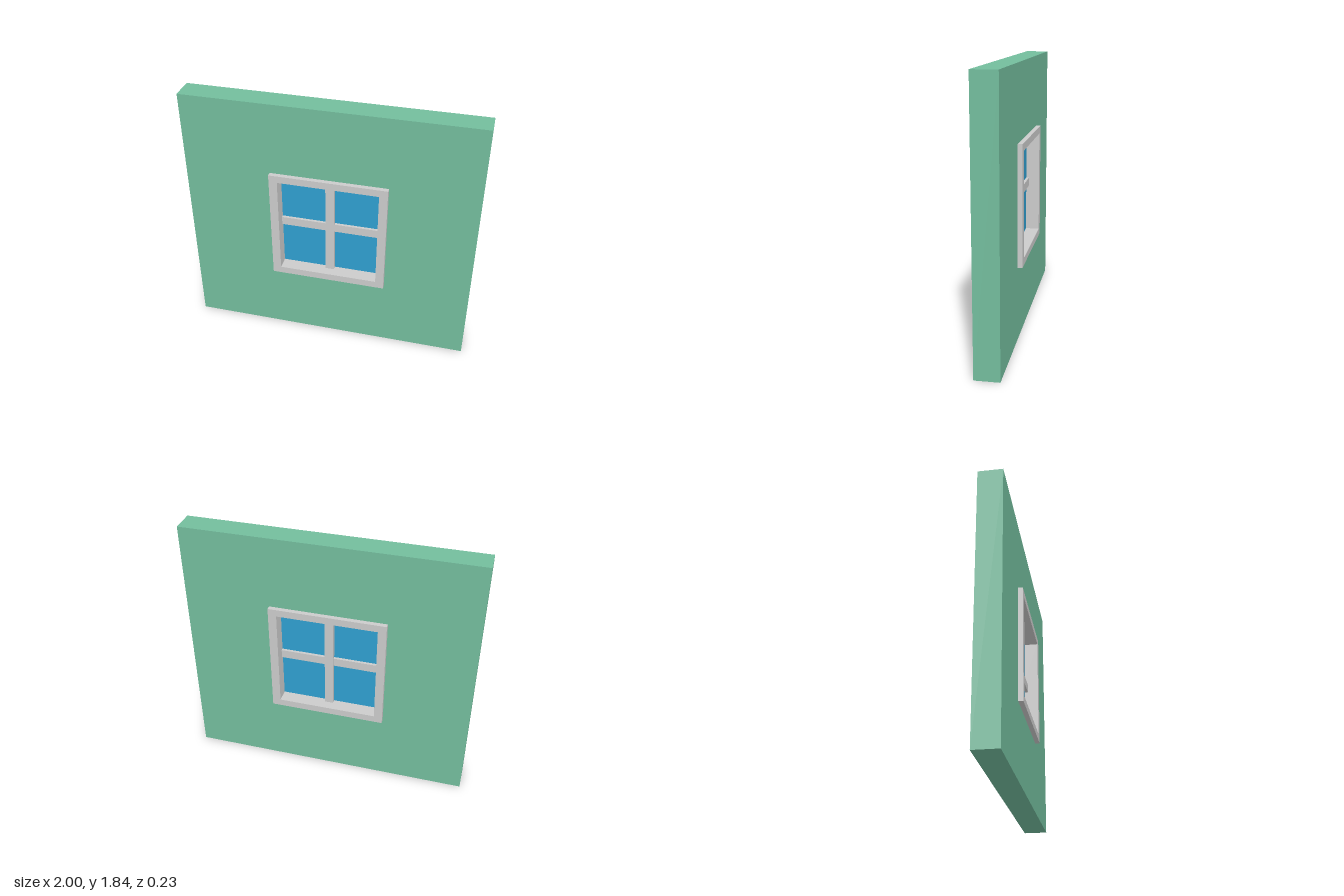
import * as THREE from 'three';

const CY = 0.92; // height of the window centre

function rectPoints(w, y0, y1) {
  return [[-w, y0], [w, y0], [w, y1], [-w, y1]].map(([x, y]) => new THREE.Vector2(x, y));
}

// Rectangular panel with a rectangular opening, centred on z = 0
function panelWithHole(outer, inner, depth) {
  const shape = new THREE.Shape(rectPoints(...outer));
  shape.holes.push(new THREE.Path(rectPoints(...inner).reverse()));
  const geometry = new THREE.ExtrudeGeometry(shape, { depth, bevelEnabled: false });
  return geometry.translate(0, 0, -depth / 2);
}

export function createModel() {
  const model = new THREE.Group();
  model.name = 'wallWithWindow';

  const wallMaterial = new THREE.MeshStandardMaterial({ color: 0x73bd9d });
  const frameMaterial = new THREE.MeshStandardMaterial({ color: 0xcccccc });
  const glassMaterial = new THREE.MeshStandardMaterial({ color: 0x2f9fd0 });

  const add = (name, geometry, material, parent = model) => {
    const mesh = new THREE.Mesh(geometry, material);
    mesh.name = name;
    parent.add(mesh);
    return mesh;
  };

  // Wall with the window opening
  add('wall', panelWithHole([1, 0, 1.835], [0.4, 0.513, 1.327], 0.165), wallMaterial);

  // Window: frame standing proud on both faces, crossed bars and a pane
  const window = new THREE.Group();
  window.name = 'window';
  model.add(window);

  add('windowFrame', panelWithHole([0.403, 0.51, 1.33], [0.345, 0.56, 1.28], 0.23), frameMaterial, window);
  add('verticalBar', new THREE.BoxGeometry(0.06, 0.72, 0.1), frameMaterial, window).position.y = CY;
  add('horizontalBar', new THREE.BoxGeometry(0.69, 0.06, 0.08), frameMaterial, window).position.y = CY;
  add('glassPane', new THREE.BoxGeometry(0.69, 0.72, 0.04), glassMaterial, window).position.y = CY;

  return model;
}
